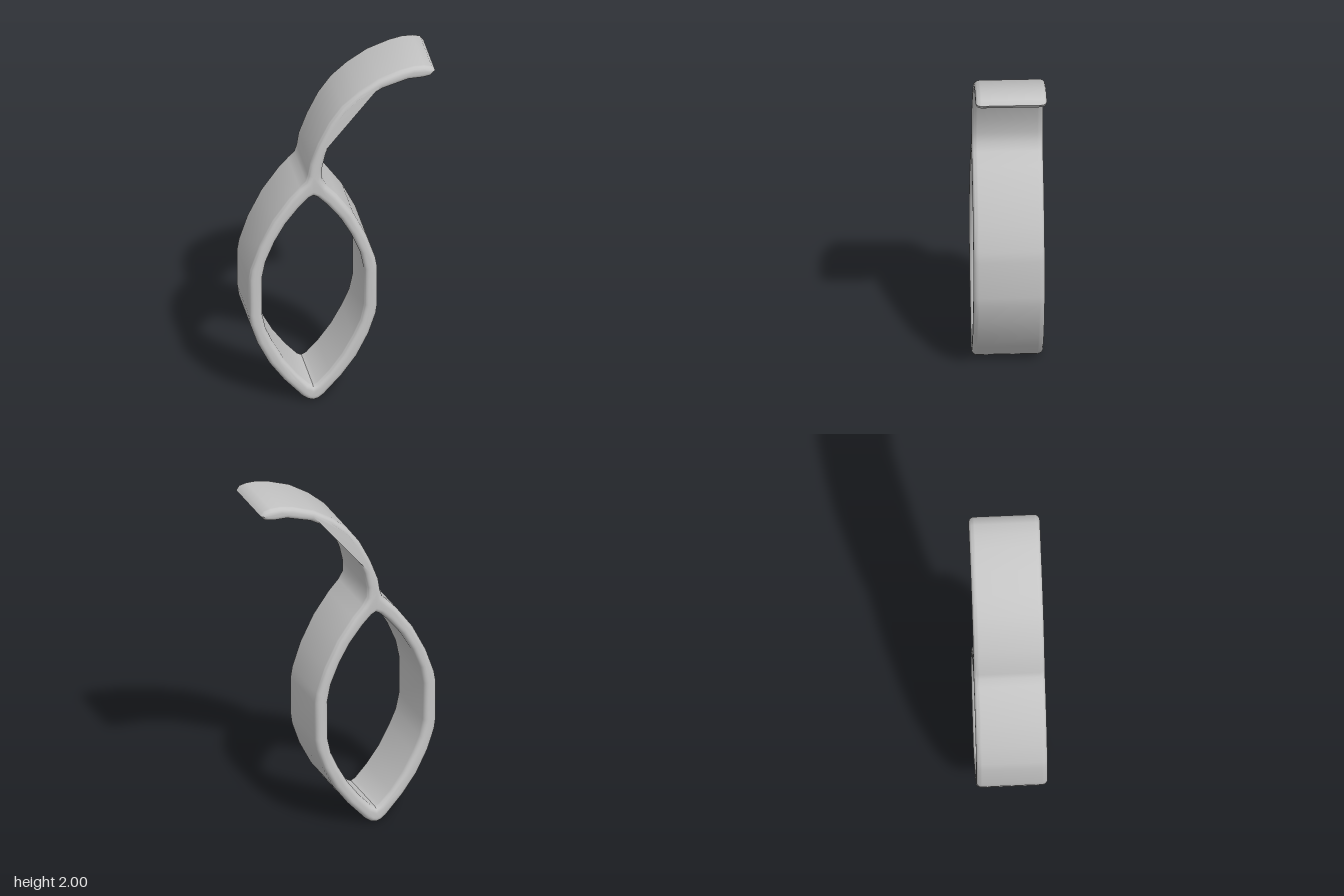
import * as THREE from 'three';
import { toCreasedNormals } from 'three/addons/utils/BufferGeometryUtils.js';

const AXIS = -0.159; // x of the loop's mirror line
const WIDTH = 0.384; // band width along z
const BEVEL = 0.03;

const toPoints = (list) => list.map(([x, y]) => new THREE.Vector2(x, y));
// Mirrored copy in reverse order, so it continues a contour
const mirrored = (list) => list.map(([x, y]) => [2 * AXIS - x, y]).reverse();

export function createModel() {
  const group = new THREE.Group();
  const grey = new THREE.MeshStandardMaterial({ color: 0xc4c4c4 });
  grey.name = 'plain grey';

  // Right outer side of the pointed loop, bottom to top
  const outer = [
    [-0.13, 0.008], [-0.10, 0.03], [0.0, 0.14], [0.08, 0.25], [0.145, 0.38],
    [0.185, 0.50], [0.193, 0.56], [0.193, 0.78], [0.183, 0.84], [0.135, 0.98],
    [0.06, 1.13], [-0.03, 1.255], [-0.085, 1.315],
  ];
  // Right inner side of the loop, bottom to top
  const inner = [
    [-0.135, 0.1], [-0.07, 0.17], [0.0, 0.265], [0.06, 0.375], [0.1, 0.465],
    [0.12, 0.56], [0.12, 0.78], [0.1, 0.88], [0.05, 1.0], [-0.01, 1.105],
    [-0.085, 1.2], [-0.135, 1.25],
  ];
  // Curved tail: up its underside, round the tip and back down
  const tail = [
    [-0.11, 1.36], [-0.11, 1.42], [-0.09, 1.51], [-0.035, 1.65], [0.025, 1.745],
    [0.10, 1.815], [0.22, 1.885], [0.36, 1.928], [0.44, 1.93], [0.485, 1.939],
    [0.509, 1.966], [0.49, 1.991], [0.45, 2.0], [0.39, 2.0], [0.32, 1.985],
    [0.20, 1.942], [0.09, 1.873], [0.0, 1.795], [-0.07, 1.70], [-0.13, 1.58],
    [-0.175, 1.46], [-0.186, 1.39], [-0.198, 1.35],
  ];

  const shape = new THREE.Shape(toPoints([[AXIS, 0], ...outer, ...tail, ...mirrored(outer)]));
  shape.holes.push(new THREE.Path(toPoints([[AXIS, 0.088], ...inner, [AXIS, 1.262], ...mirrored(inner)])));

  // Band with rounded rims, centred on z = 0
  const geometry = new THREE.ExtrudeGeometry(shape, {
    depth: WIDTH - 2 * BEVEL,
    bevelEnabled: true,
    bevelThickness: BEVEL,
    bevelSize: 0.027,
    bevelOffset: -0.027,
    bevelSegments: 5,
  });
  geometry.translate(0, 0, BEVEL - WIDTH / 2);

  const band = new THREE.Mesh(toCreasedNormals(geometry, 0.75), grey);
  band.name = 'loopWithCurvedTail';
  group.add(band);
  return group;
}
